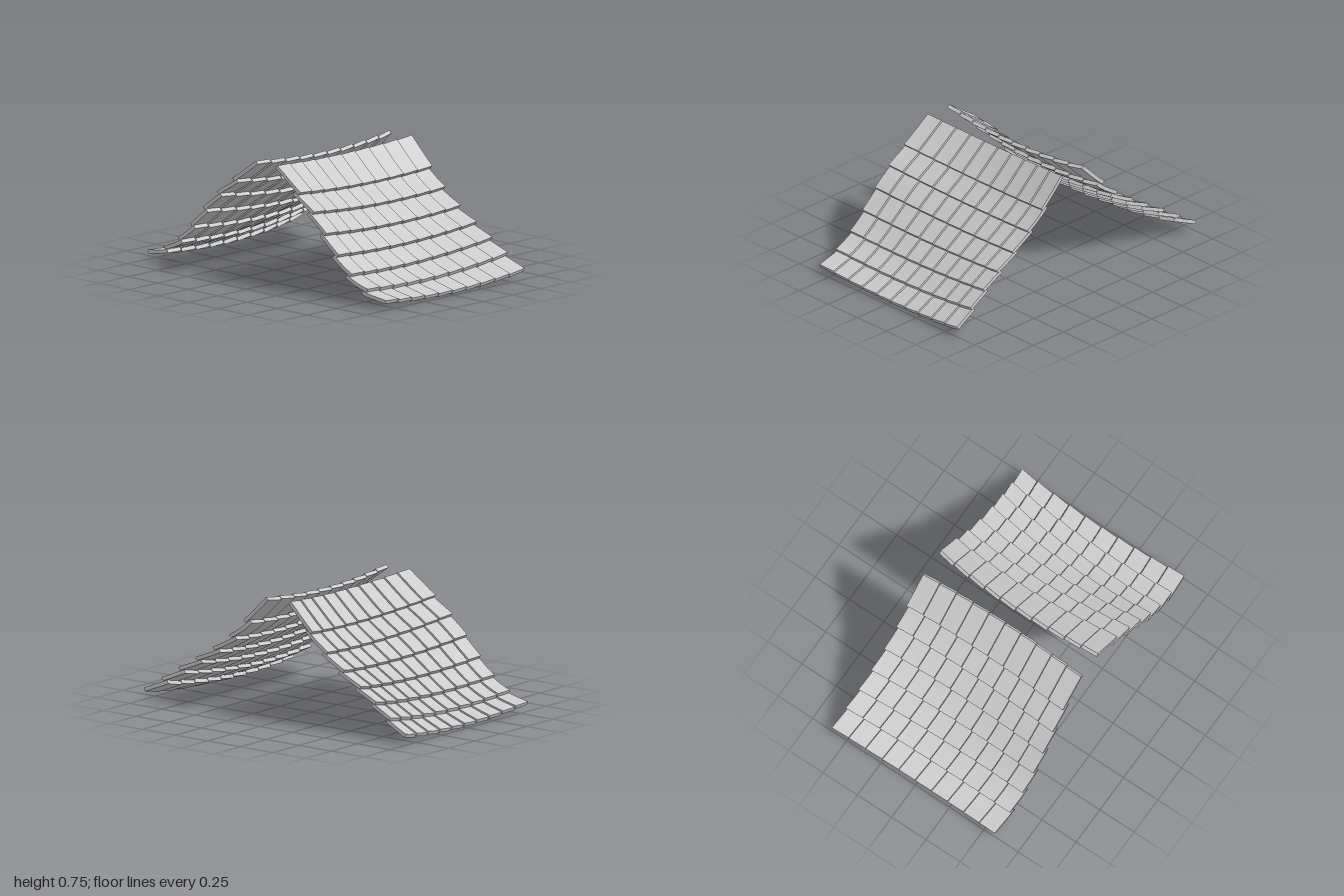
import * as THREE from 'three';

const ROWS = 7, COLS = 10;
const THICK = 0.024, RISE = 0.03, OVERLAP = 0.15;

// Underside of one slope from ridge to eave, one point per row boundary
const profile = new THREE.CatmullRomCurve3([
  [0.045, 0.71], [0.21, 0.537], [0.33, 0.43], [0.45, 0.325],
  [0.57, 0.225], [0.69, 0.132], [0.82, 0.05], [0.96, -0.018],
].map(([x, y]) => new THREE.Vector3(x, y, 0)));

// One curved tile: a box bent onto the slope
function tileGeometry(row, col, side) {
  const geo = new THREE.BoxGeometry(1, 1, 1, 4, 1, 2);
  const pos = geo.attributes.position;
  const start = row === 0 ? 0 : row - OVERLAP;
  for (let i = 0; i < pos.count; i++) {
    const a = pos.getX(i) + 0.5, b = pos.getY(i) + 0.5, c = pos.getZ(i);
    const u = THREE.MathUtils.lerp(start, row + 1, a) / ROWS;
    const p = profile.getPoint(u), t = profile.getTangent(u);

    // Columns spread slightly towards the eave and bow forwards mid-slope
    const pitch = 0.1155 + 0.0035 * u;
    const z = (col - (COLS - 1) / 2 + c) * pitch - c * 0.005
      + 0.022 * Math.sin(Math.PI * u) - 0.01 * u - 0.008 * (a - 0.5);

    // Lower end rests on the next row, rear edge is lifted, whole slope sags in the middle
    const w = z / 0.58;
    const h = RISE * a + THICK * b - 0.008 * c
      + 0.042 * w * w + 0.025 * Math.sin(2 * Math.PI * u) * w;
    pos.setXYZ(i, side * (p.x - t.y * h), p.y + t.x * h, z);
  }
  // Mirrored tiles need their corner order reversed
  if (side < 0) geo.index.array.reverse();
  geo.computeVertexNormals();
  return geo;
}

export function createModel() {
  const roof = new THREE.Group();
  roof.name = 'tiledRoof';
  const material = new THREE.MeshStandardMaterial({ color: 0xcccccc });

  // Two mirrored slopes with an open ridge
  for (const side of [1, -1]) {
    const slope = new THREE.Group();
    slope.name = side > 0 ? 'leftSlope' : 'rightSlope';
    for (let row = 0; row < ROWS; row++) {
      const course = new THREE.Group();
      course.name = `tileRow${row + 1}`;
      for (let col = 0; col < COLS; col++) {
        const tile = new THREE.Mesh(tileGeometry(row, col, side), material);
        tile.name = 'roofTile';
        course.add(tile);
      }
      slope.add(course);
    }
    roof.add(slope);
  }
  return roof;
}
